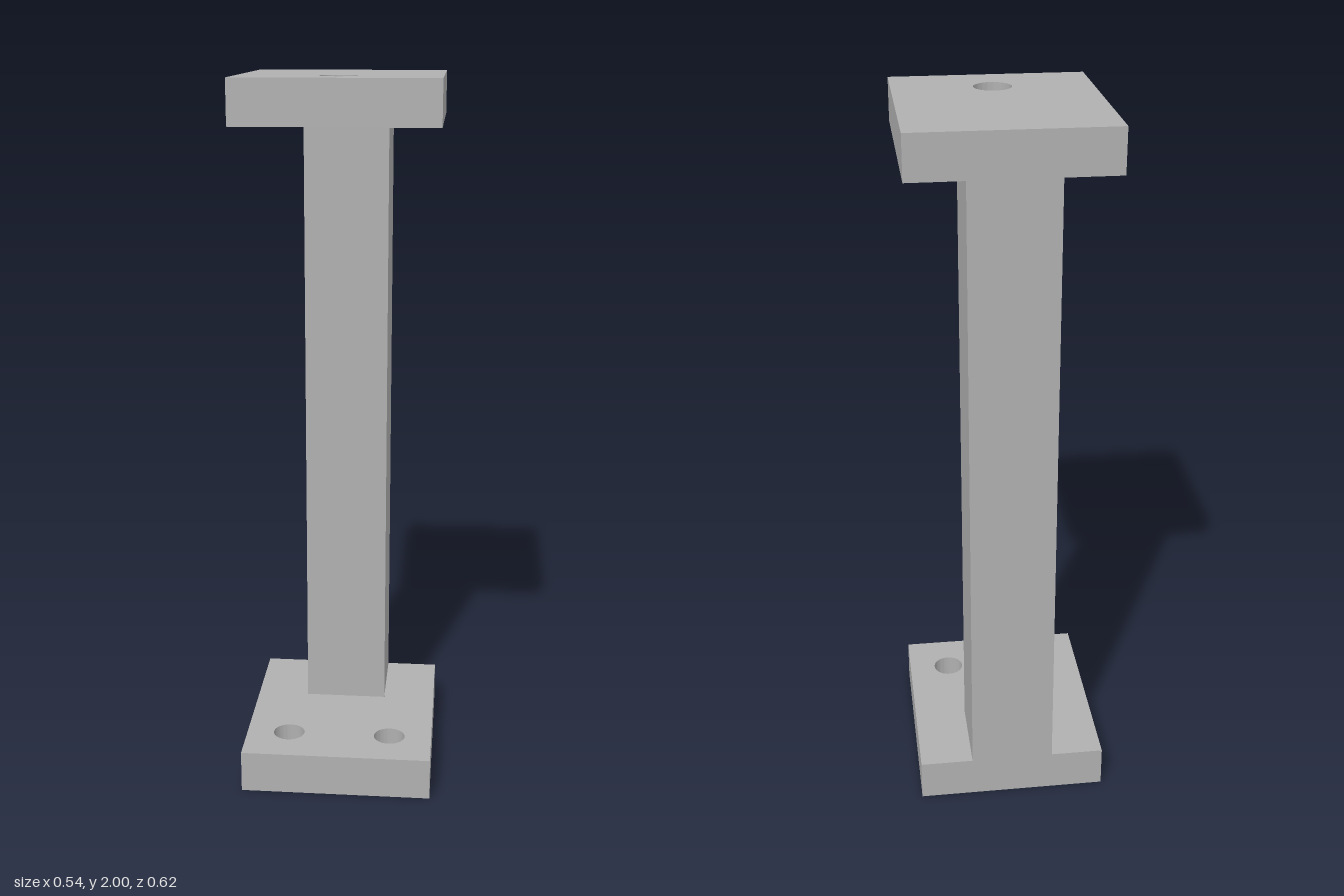
import * as THREE from 'three';
import { toCreasedNormals } from 'three/addons/utils/BufferGeometryUtils.js';

const WIDTH = 0.542, DEPTH = 0.616, THICK = 0.12, HEIGHT = 2;

// Flat rectangular plate with round through-holes given as [x, z, radius]
function plateGeometry(holes) {
  const w = WIDTH / 2, d = DEPTH / 2;
  const shape = new THREE.Shape([
    new THREE.Vector2(-w, -d), new THREE.Vector2(w, -d),
    new THREE.Vector2(w, d), new THREE.Vector2(-w, d),
  ]);
  for (const [x, z, r] of holes) {
    shape.holes.push(new THREE.Path().absarc(x, -z, r, 0, Math.PI * 2, true));
  }
  const geo = new THREE.ExtrudeGeometry(shape, { depth: THICK, bevelEnabled: false, curveSegments: 32 });
  geo.rotateX(-Math.PI / 2);
  return toCreasedNormals(geo, 0.6);
}

export function createModel() {
  const group = new THREE.Group();
  group.name = 'standoffBracket';
  const grey = new THREE.MeshStandardMaterial({ color: 0xb0b0b0 });
  grey.name = 'grey';

  const add = (name, geometry, y, z = 0) => {
    const mesh = new THREE.Mesh(geometry, grey);
    mesh.name = name;
    mesh.position.set(0, y, z);
    group.add(mesh);
  };

  // Base with two screw holes, top with one larger hole
  add('basePlate', plateGeometry([[-0.148, 0.174, 0.045], [0.148, 0.174, 0.045]]), 0);
  add('topPlate', plateGeometry([[0, 0.157, 0.052]]), HEIGHT - THICK);

  // Square post flush with the back edge of both plates
  const postSize = 0.238;
  add('post', new THREE.BoxGeometry(postSize, HEIGHT - 2 * THICK, postSize),
    HEIGHT / 2, -DEPTH / 2 + postSize / 2);

  return group;
}
